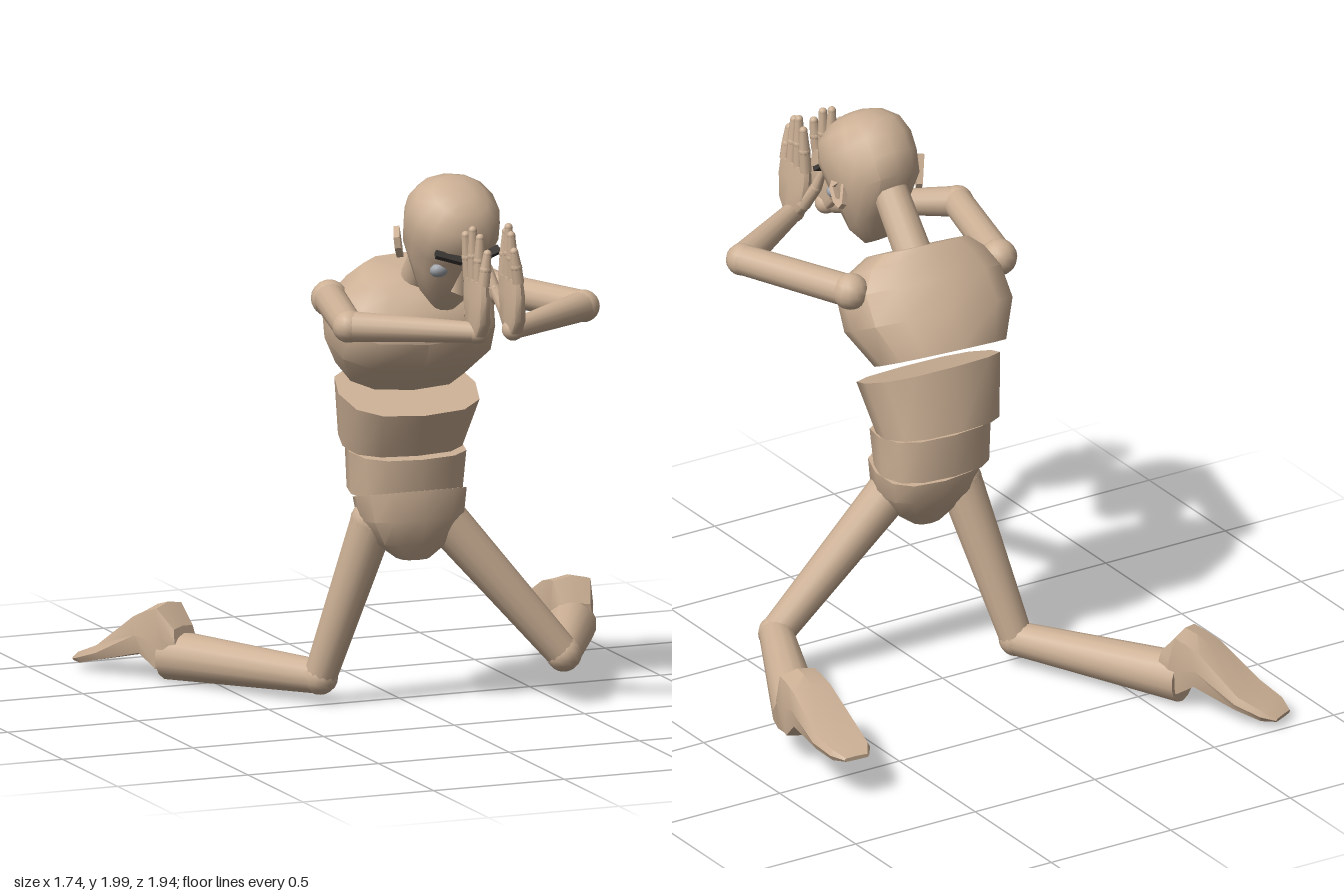
import * as THREE from 'three';
import { mergeVertices, toCreasedNormals } from 'three/addons/utils/BufferGeometryUtils.js';

const skin = new THREE.MeshStandardMaterial({ color: 0xcdb196 });
const dark = new THREE.MeshStandardMaterial({ color: 0x3a3633 });
const grey = new THREE.MeshStandardMaterial({ color: 0xa0a4aa });
const V = (p) => new THREE.Vector3(...p);

function add(parent, name, geometry, material = skin) {
  const mesh = new THREE.Mesh(geometry, material);
  mesh.name = name;
  parent.add(mesh);
  return mesh;
}

// Closed loft through rings [y, back z, front z, half width, slope of y along z]
function loft(rings, sides = 12, power = 0.8, crease = 0.75) {
  const pos = [], index = [];
  const bend = (v) => Math.sign(v) * Math.abs(v) ** power;
  for (const [y, z0, z1, w, k = 0] of rings) {
    for (let j = 0; j < sides; j++) {
      const a = (j / sides) * Math.PI * 2;
      const dz = ((z1 - z0) / 2) * bend(Math.cos(a));
      pos.push(w * bend(Math.sin(a)), y + k * dz, (z0 + z1) / 2 + dz);
    }
  }
  const n = rings.length, bottom = n * sides, top = bottom + 1;
  for (const [y, z0, z1] of [rings[0], rings[n - 1]]) pos.push(0, y, (z0 + z1) / 2);
  for (let j = 0; j < sides; j++) {
    const j1 = (j + 1) % sides;
    for (let i = 0; i < n - 1; i++) {
      const p = i * sides + j, q = i * sides + j1;
      index.push(p, q, q + sides, p, q + sides, p + sides);
    }
    index.push(bottom, j1, j, top, (n - 1) * sides + j, (n - 1) * sides + j1);
  }
  const g = new THREE.BufferGeometry();
  g.setAttribute('position', new THREE.Float32BufferAttribute(pos, 3));
  g.setIndex(index);
  return toCreasedNormals(mergeVertices(g), crease);
}

// Tapered cylinder from a to b
function limb(parent, name, a, b, ra, rb, sides = 14) {
  const from = V(a), dir = V(b).sub(from);
  const mesh = add(parent, name, new THREE.CylinderGeometry(rb, ra, dir.length(), sides));
  mesh.position.copy(from).addScaledVector(dir, 0.5);
  mesh.quaternion.setFromUnitVectors(new THREE.Vector3(0, 1, 0), dir.normalize());
  return mesh;
}

function ball(parent, name, p, r, material) {
  const mesh = add(parent, name, new THREE.SphereGeometry(r, 14, 10), material);
  mesh.position.set(...p);
  return mesh;
}

function makeHead() {
  const head = new THREE.Group();
  head.name = 'head';
  add(head, 'skull', loft([
    [-0.21, 0.07, 0.155, 0.05], [-0.15, -0.02, 0.17, 0.105], [-0.05, -0.18, 0.17, 0.145],
    [0.03, -0.195, 0.17, 0.16], [0.1, -0.19, 0.172, 0.166], [0.165, -0.16, 0.145, 0.15],
    [0.21, -0.11, 0.09, 0.1], [0.228, -0.06, 0.04, 0.045],
  ], 14, 0.9, 0.9));
  // Nose wedge
  const nose = add(head, 'nose', new THREE.ConeGeometry(0.032, 0.11, 4));
  nose.position.set(0, -0.02, 0.175);
  nose.rotation.x = -0.2;
  const earShape = new THREE.Shape([
    [-0.045, 0.055], [0.02, 0.065], [0.04, 0.03], [0.025, -0.03], [0.0, -0.06], [-0.02, -0.05],
  ].map(([x, y]) => new THREE.Vector2(x, y)));
  earShape.holes.push(new THREE.Path([
    [-0.025, 0.035], [-0.01, -0.03], [0.01, -0.02], [0.022, 0.03],
  ].map(([x, y]) => new THREE.Vector2(x, y))));
  for (const s of [-1, 1]) {
    const eye = ball(head, 'eye', [s * 0.082, 0.0, 0.145], 0.034, grey);
    eye.scale.set(1, 0.8, 0.7);
    const brow = add(head, 'eyebrow', new THREE.BoxGeometry(0.1, 0.016, 0.03), dark);
    brow.position.set(s * 0.075, 0.09, 0.168);
    brow.rotation.set(0, s * 0.3, s * 0.15);
    const ear = add(head, 'ear', new THREE.ExtrudeGeometry(earShape, { depth: 0.022, bevelEnabled: false }));
    ear.position.set(s * 0.165, -0.03, -0.01);
    ear.rotation.set(0.35, -Math.PI / 2 + s * 0.3, 0, 'YXZ');
  }
  head.position.set(-0.025, 1.77, 0.5);
  head.rotation.x = 0.64;
  return head;
}

// Raised hand; s = +1 for the left one, origin at the wrist
function makeHand(s) {
  const hand = new THREE.Group();
  hand.name = s > 0 ? 'leftHand' : 'rightHand';
  add(hand, 'palm', loft([
    [-0.01, -0.035, 0.04, 0.026], [0.04, -0.08, 0.075, 0.03],
    [0.13, -0.092, 0.085, 0.026], [0.19, -0.092, 0.08, 0.02],
  ], 12, 0.6));
  // Fingers from index to little: z, length
  [[-0.07, 0.16], [-0.026, 0.185], [0.018, 0.165], [0.062, 0.115]].forEach(([z, len], i) => {
    const x = s * (0.012 - i * 0.009), base = [0, 0.18, z];
    const mid = [x * 0.5, 0.18 + len * 0.5, z + 0.002], tip = [x, 0.18 + len, z + 0.004];
    limb(hand, 'finger', base, mid, 0.022, 0.021, 8);
    limb(hand, 'fingerEnd', mid, tip, 0.021, 0.015, 8);
    ball(hand, 'knuckle', mid, 0.0215);
    ball(hand, 'fingertip', tip, 0.015);
  });
  // Thumb
  const joints = [[0, 0.05, -0.06], [-s * 0.02, 0.13, -0.11], [-s * 0.03, 0.2, -0.135]];
  limb(hand, 'thumb', joints[0], joints[1], 0.027, 0.021, 8);
  limb(hand, 'thumbEnd', joints[1], joints[2], 0.021, 0.014, 8);
  ball(hand, 'thumbKnuckle', joints[1], 0.021);
  ball(hand, 'thumbTip', joints[2], 0.014);
  return hand;
}

// Foot stretched backward with its sole upward: [along, sole, instep, half width]
function makeFoot(name, position, yaw, pitch) {
  const rings = [
    [-0.02, 0.05, -0.05, 0.06], [0.03, 0.14, -0.08, 0.08], [0.08, 0.135, -0.1, 0.082],
    [0.14, 0.115, -0.035, 0.085], [0.32, 0.02, -0.04, 0.095], [0.42, 0.0, -0.045, 0.08],
    [0.47, -0.02, -0.035, 0.05],
  ].map(([s, top, low, w]) => [s, -top, -low, w]);
  const foot = new THREE.Group();
  foot.name = name;
  add(foot, 'footBody', loft(rings, 8, 0.4, 0.4).rotateX(Math.PI / 2));
  foot.position.set(...position);
  foot.rotation.set(pitch, yaw, 0, 'YXZ');
  return foot;
}

export function createModel() {
  const model = new THREE.Group();
  model.name = 'kneelingFigure';

  // Torso segments
  const chest = add(model, 'chest', loft([
    [0, -0.185, 0.185, 0.235], [0.14, -0.19, 0.25, 0.305], [0.26, -0.155, 0.26, 0.3],
    [0.34, -0.13, 0.2, 0.25], [0.385, -0.115, 0.12, 0.19],
  ], 12, 0.75));
  chest.position.set(-0.025, 1.25, 0.055);
  chest.rotation.set(0.46, -0.08, 0, 'YXZ');
  const segments = {
    abdomen: [[0.957, -0.08, 0.235, 0.22, -0.24], [1.16, -0.03, 0.315, 0.262, -0.39]],
    waist: [[0.79, -0.03, 0.27, 0.205, -0.07], [0.945, -0.03, 0.29, 0.215, -0.1]],
    pelvis: [[0.56, 0.12, 0.25, 0.06], [0.62, 0.08, 0.28, 0.14], [0.7, 0.04, 0.31, 0.19, 0.1],
      [0.79, 0.03, 0.305, 0.205, 0.22]],
  };
  for (const [name, rings] of Object.entries(segments)) {
    add(model, name, loft(rings, 12, 0.75)).position.x = -0.03;
  }

  limb(model, 'neck', [-0.025, 1.53, 0.2], [-0.025, 1.75, 0.385], 0.068, 0.064);
  model.add(makeHead());

  // Arms reaching forward with the hands in front of the face
  const arms = [
    { side: 'left', s: 1, shoulder: [0.265, 1.51, 0.19], elbow: [0.445, 1.51, 0.62], wrist: [0.07, 1.505, 0.87] },
    { side: 'right', s: -1, shoulder: [-0.33, 1.51, 0.15], elbow: [-0.455, 1.51, 0.62], wrist: [-0.065, 1.505, 0.87] },
  ];
  for (const { side, s, shoulder, elbow, wrist } of arms) {
    ball(model, side + 'Shoulder', shoulder, 0.066);
    limb(model, side + 'UpperArm', shoulder, elbow, 0.058, 0.055);
    ball(model, side + 'Elbow', elbow, 0.058);
    limb(model, side + 'Forearm', elbow, wrist, 0.055, 0.036);
    ball(model, side + 'Wrist', wrist, 0.04);
    const hand = makeHand(s);
    hand.position.set(...wrist);
    hand.rotation.z = s > 0 ? 0.03 : 0.02;
    model.add(hand);
  }

  // Legs kneeling wide apart
  const legs = [
    { side: 'left', hip: [0.09, 0.69, 0.2], knee: [0.5, 0.19, 0.31], ankle: [0.765, 0.165, -0.25] },
    { side: 'right', hip: [-0.16, 0.69, 0.14], knee: [-0.29, 0.105, -0.03], ankle: [-0.62, 0.1, -0.61] },
  ];
  for (const { side, hip, knee, ankle } of legs) {
    ball(model, side + 'Hip', hip, 0.08);
    limb(model, side + 'Thigh', hip, knee, 0.08, 0.06);
    ball(model, side + 'Knee', knee, 0.064);
    limb(model, side + 'Shin', knee, ankle, 0.061, 0.09);
  }
  model.add(makeFoot('leftFoot', [0.765, 0.2, -0.22], Math.atan2(0.03, -0.44), 0));
  model.add(makeFoot('rightFoot', [-0.6, 0.16, -0.56], Math.atan2(-0.19, -0.36), 0.2));
  return model;
}
